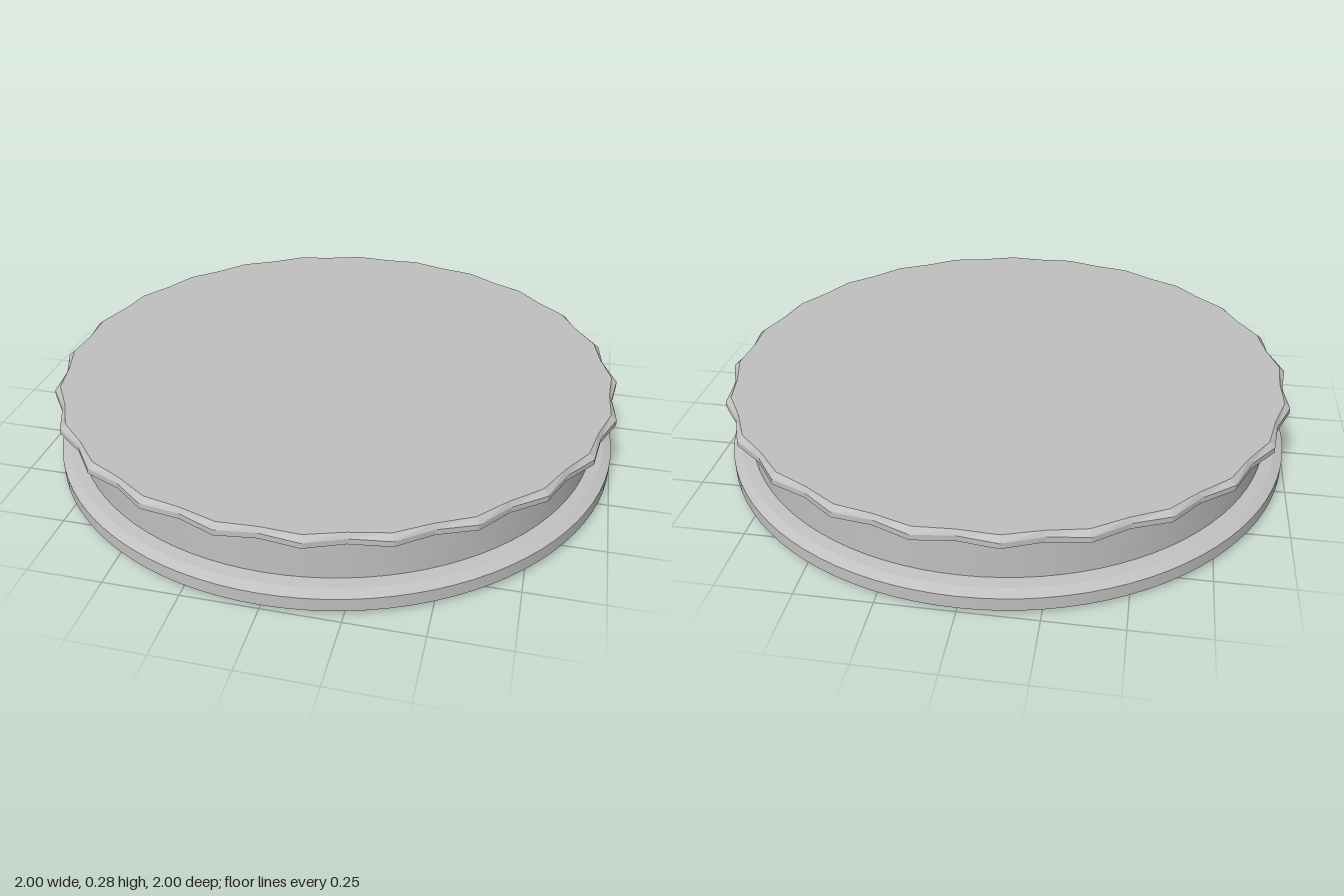
import * as THREE from 'three';

const grey = new THREE.MeshStandardMaterial({ color: 0xc0c0c0 });
grey.name = 'light grey';

// Round part with a sharp edge at every profile point: one smooth band per profile step
function turned(name, profile) {
  const part = new THREE.Group();
  part.name = name;
  for (let i = 0; i < profile.length - 1; i++) {
    const points = [profile[i], profile[i + 1]].map(([r, y]) => new THREE.Vector2(r, y));
    const band = new THREE.Mesh(new THREE.LatheGeometry(points, 96), grey);
    band.name = name + 'Band' + (i + 1);
    part.add(band);
  }
  return part;
}

// Scalloped plate: stacked rings that alternate between valley and peak radius
function scallopedPlate(name, rings, peaks) {
  const count = peaks * 2;
  const point = ([valley, peak, y], i) => {
    const a = (i / count) * Math.PI * 2;
    const r = i % 2 ? peak : valley;
    return [Math.sin(a) * r, y, Math.cos(a) * r];
  };
  const positions = [];
  const top = rings[rings.length - 1];
  for (let i = 0; i < count; i++) {
    for (let k = 0; k < rings.length - 1; k++) {
      const a = point(rings[k], i), b = point(rings[k], i + 1);
      const c = point(rings[k + 1], i + 1), d = point(rings[k + 1], i);
      positions.push(...a, ...b, ...c, ...a, ...c, ...d);
    }
    positions.push(0, top[2], 0, ...point(top, i), ...point(top, i + 1));
  }
  const geometry = new THREE.BufferGeometry();
  geometry.setAttribute('position', new THREE.Float32BufferAttribute(positions, 3));
  geometry.computeVertexNormals();
  const mesh = new THREE.Mesh(geometry, grey);
  mesh.name = name;
  return mesh;
}

export function createModel() {
  const model = new THREE.Group();
  model.name = 'scallopedDisc';

  // Round base flange with bevelled rims
  model.add(turned('baseFlange', [
    [0, 0], [0.965, 0], [1, 0.015], [1, 0.06], [0.97, 0.075], [0.93, 0.08],
  ]));

  // Recessed drum between the flanges
  model.add(turned('drum', [[0.93, 0.078], [0.93, 0.235]]));

  // Top plate with 24 shallow scallops: valley radius, peak radius, height
  model.add(scallopedPlate('topPlate', [
    [0.925, 0.925, 0.228],
    [0.95, 0.965, 0.23],
    [0.975, 1, 0.245],
    [0.975, 1, 0.264],
    [0.965, 0.98, 0.28],
  ], 24));

  return model;
}
